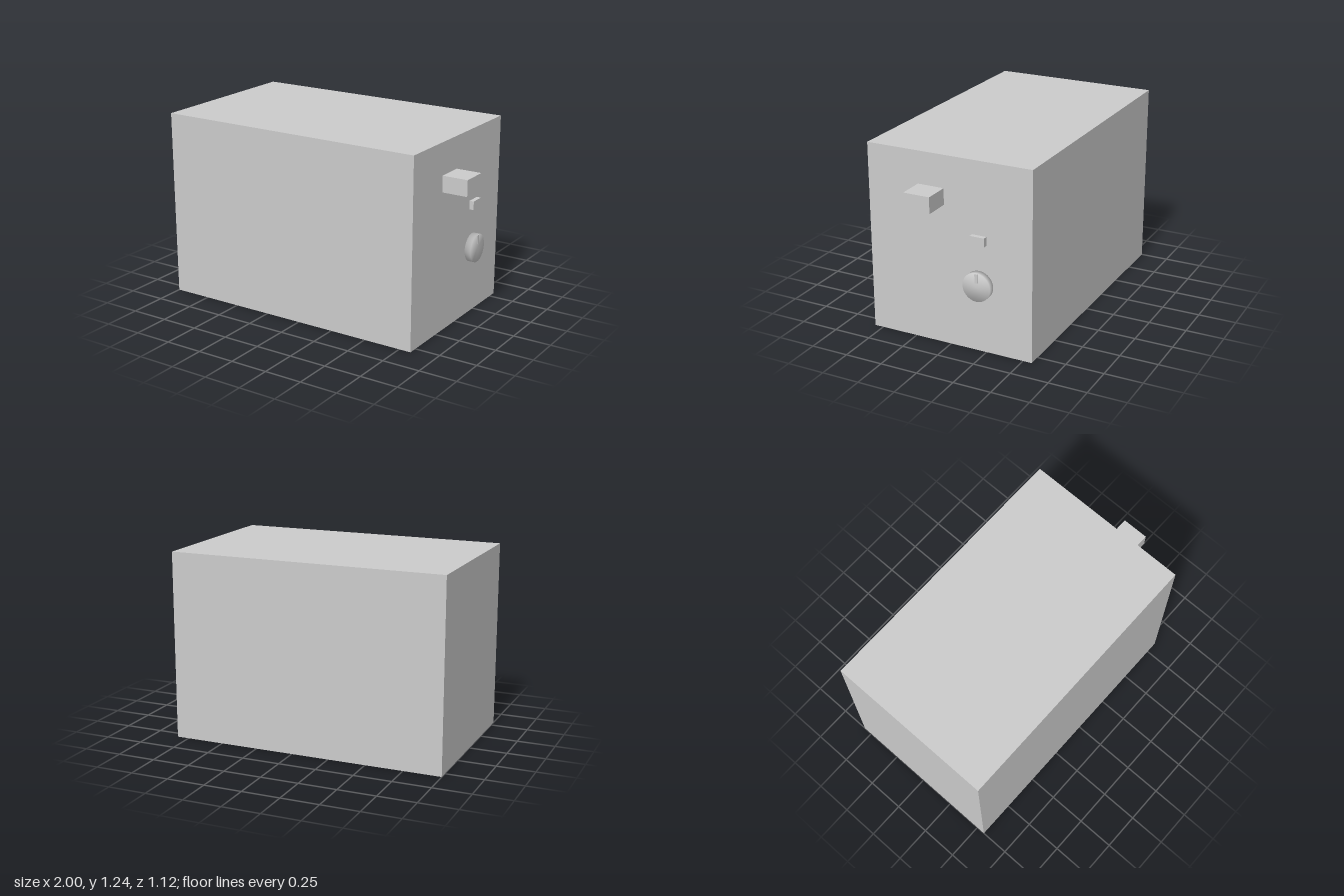
import * as THREE from 'three';
import { mergeVertices } from 'three/addons/utils/BufferGeometryUtils.js';

export function createModel() {
  const model = new THREE.Group();
  const material = new THREE.MeshStandardMaterial({ color: 0xcccccc });

  function add(name, geometry, x, y, z) {
    const mesh = new THREE.Mesh(geometry, material);
    mesh.name = name;
    mesh.position.set(x, y, z);
    model.add(mesh);
  }

  // Box given by its lower and upper corners
  function addBox(name, [x0, y0, z0], [x1, y1, z1]) {
    add(name, new THREE.BoxGeometry(x1 - x0, y1 - y0, z1 - z0),
      (x0 + x1) / 2, (y0 + y1) / 2, (z0 + z1) / 2);
  }

  const side = 0.83; // the wall that carries the controls
  addBox('cabinet', [-1, 0, -0.56], [side, 1.242, 0.56]);
  addBox('outletBlock', [side, 0.925, 0.031], [1, 1.031, 0.208]);
  addBox('switchButton', [side, 0.714, -0.255], [0.86, 0.771, -0.158]);

  // Dial: short cylinder along x, with normals smoothed over the rim
  const depth = 0.042;
  let dial = new THREE.CylinderGeometry(0.094, 0.094, depth, 48).rotateZ(-Math.PI / 2);
  dial.deleteAttribute('normal');
  dial.deleteAttribute('uv');
  dial = mergeVertices(dial);
  dial.computeVertexNormals();
  add('dial', dial, side + depth / 2, 0.446, -0.205);

  // Raised mark on the dial
  addBox('dialPointer', [side + 0.02, 0.476, -0.215], [0.877, 0.535, -0.196]);

  return model;
}
